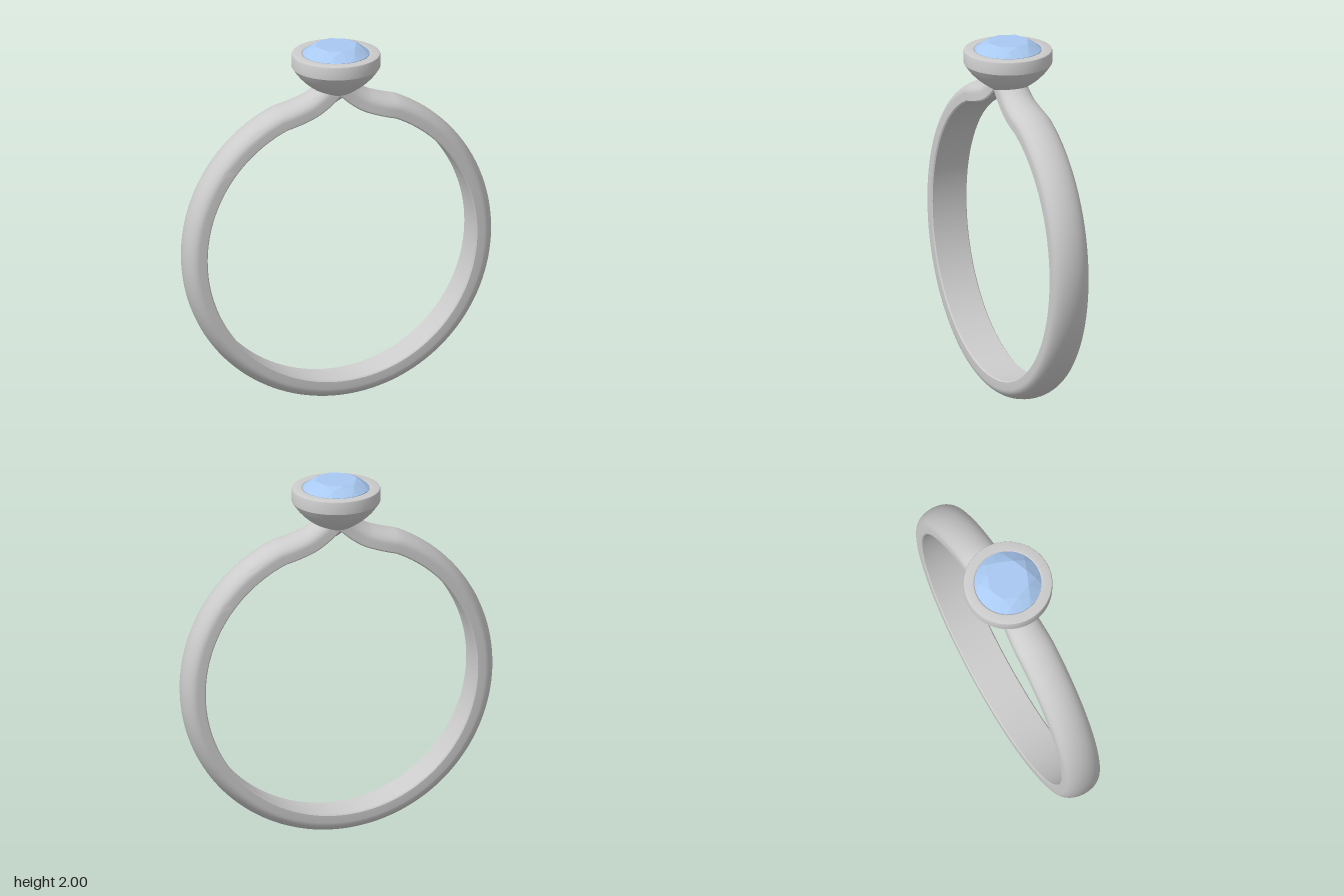
import * as THREE from 'three';
import { toCreasedNormals } from 'three/addons/utils/BufferGeometryUtils.js';
import { ConvexGeometry } from 'three/addons/geometries/ConvexGeometry.js';

const metal = new THREE.MeshStandardMaterial({ color: 0xcccccc });
const V2 = (x, y) => new THREE.Vector2(x, y);

// Inner line of the band: tip, dip into the shoulder, around the circle, and back up.
function bandPath() {
  const R = 0.765, cy = 0.876, start = Math.asin(0.31 / R);
  const tail = new THREE.SplineCurve([
    V2(0, 1.73), V2(0.06, 1.677), V2(0.13, 1.633), V2(0.2, 1.606), V2(0.26, 1.588),
    V2(0.31, cy + R * Math.cos(start)),
  ]).getPoints(24);
  const pts = [...tail];
  const n = 128;
  for (let i = 1; i < n; i++) {
    const a = start + (2 * Math.PI - 2 * start) * i / n;
    pts.push(V2(R * Math.sin(a), cy + R * Math.cos(a)));
  }
  tail.reverse().forEach(p => pts.push(V2(-p.x, p.y)));
  return pts;
}

// Cross-section as [outward offset, fraction of half width]: flat inside, domed outside.
function bandProfile() {
  const prof = [[0, -0.94], [0.007, -1]];
  const n = 18;
  for (let i = 0; i <= n; i++) {
    const a = -Math.PI / 2 + Math.PI * i / n;
    prof.push([0.048 + 0.063 * Math.cos(a), Math.sin(a)]);
  }
  prof.push([0.007, 1], [0, 0.94]);
  return prof;
}

function bandGeometry() {
  const path = bandPath(), prof = bandProfile(), m = prof.length;
  const pos = [], idx = [];
  path.forEach((p, i) => {
    const a = path[Math.max(i - 1, 0)], b = path[Math.min(i + 1, path.length - 1)];
    const t = b.clone().sub(a).normalize();
    const taper = p.y > 1 ? THREE.MathUtils.smoothstep(Math.abs(p.x), 0, 0.3) : 1;
    const half = 0.088 + 0.017 * taper;
    prof.forEach(([o, w]) => pos.push(p.x - t.y * o, p.y + t.x * o, w * half));
  });
  const last = (path.length - 1) * m;
  for (let i = 0; i < path.length - 1; i++) {
    for (let j = 0; j < m; j++) {
      const k = (j + 1) % m;
      const a = i * m + j, b = i * m + k, c = b + m, d = a + m;
      idx.push(a, b, c, a, c, d);
    }
  }
  // end caps
  for (let j = 1; j < m - 1; j++) {
    idx.push(0, j + 1, j, last, last + j, last + j + 1);
  }
  const g = new THREE.BufferGeometry();
  g.setAttribute('position', new THREE.Float32BufferAttribute(pos, 3));
  g.setIndex(idx);
  return toCreasedNormals(g, 0.6);
}

// Cup that holds the stone, turned from the pointed base to the inner ledge.
function bezelGeometry() {
  const outer = new THREE.SplineCurve([
    V2(0.1, 1.745), V2(0.16, 1.788), V2(0.205, 1.832), V2(0.24, 1.88),
  ]).getPoints(12);
  const pts = [V2(0, 1.672), V2(0.035, 1.7), V2(0.07, 1.725), ...outer,
    V2(0.241, 1.945), V2(0.238, 1.952), V2(0.23, 1.955),
    V2(0.187, 1.955), V2(0.181, 1.95), V2(0.181, 1.9), V2(0, 1.9)];
  return toCreasedNormals(new THREE.LatheGeometry(pts, 72), 0.5);
}

// Brilliant cut: table, crown and girdle rings plus a pavilion point.
function stoneGeometry() {
  const pts = [new THREE.Vector3(0, 1.82, 0)];
  const ring = (n, r, y, turn) => {
    for (let i = 0; i < n; i++) {
      const a = (i + turn) * 2 * Math.PI / n;
      pts.push(new THREE.Vector3(r * Math.cos(a), y, r * Math.sin(a)));
    }
  };
  ring(8, 0.115, 2.0, 0);
  ring(8, 0.151, 1.98, 0.5);
  ring(32, 0.182, 1.955, 0);
  ring(32, 0.182, 1.935, 0);
  return new ConvexGeometry(pts);
}

export function createModel() {
  const model = new THREE.Group();
  model.name = 'ring';
  const add = (name, geometry, material) => {
    const mesh = new THREE.Mesh(geometry, material);
    mesh.name = name;
    model.add(mesh);
  };
  add('band', bandGeometry(), metal);
  add('bezel', bezelGeometry(), metal);
  add('stone', stoneGeometry(), new THREE.MeshStandardMaterial({ color: 0xa9c9f2, flatShading: true }));
  return model;
}
